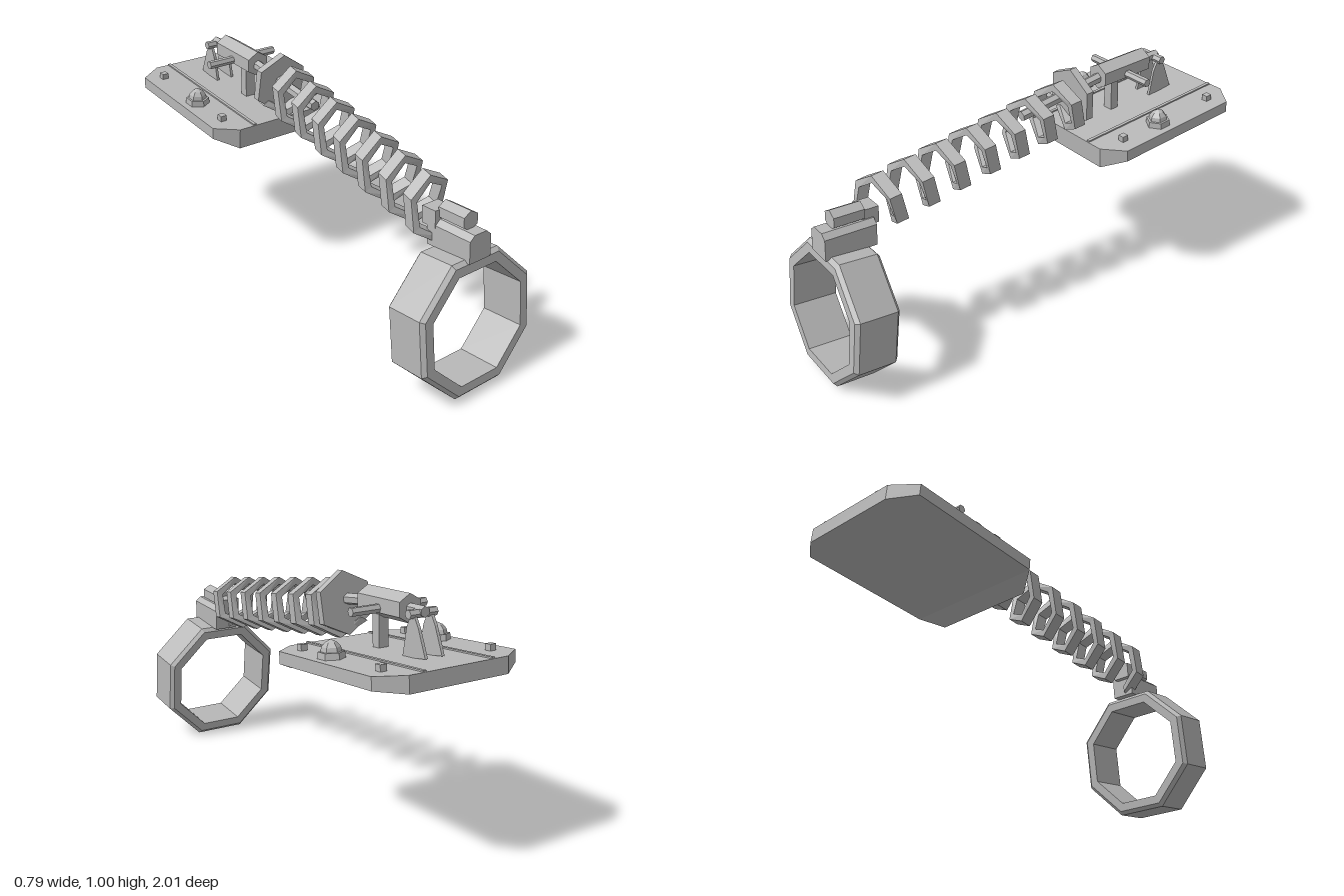
import * as THREE from 'three';

const steel = new THREE.MeshStandardMaterial({ color: 0xb8b8b8, flatShading: true });
steel.name = 'grey steel';

const V = (x, y, z) => new THREE.Vector3(x, y, z);

function part(name, geometry, parent, x = 0, y = 0, z = 0) {
  const mesh = new THREE.Mesh(geometry, steel);
  mesh.name = name;
  mesh.position.set(x, y, z);
  parent.add(mesh);
  return mesh;
}

// Straight faceted bar between two points
function rod(name, a, b, radius, parent, sides = 6) {
  const dir = b.clone().sub(a);
  const mesh = part(name, new THREE.CylinderGeometry(radius, radius, dir.length(), sides), parent);
  mesh.position.copy(a).add(b).multiplyScalar(0.5);
  mesh.quaternion.setFromUnitVectors(V(0, 1, 0), dir.normalize());
  return mesh;
}

// Solid joined from four-cornered cross-sections
function loft(loops) {
  const pos = [];
  const quad = (a, b, c, d) => [a, b, c, a, c, d].forEach(p => pos.push(p.x, p.y, p.z));
  for (let i = 0; i < loops.length - 1; i++) {
    for (let k = 0; k < 4; k++) {
      const n = (k + 1) % 4;
      quad(loops[i][k], loops[i + 1][k], loops[i + 1][n], loops[i][n]);
    }
  }
  quad(...loops[0]);
  quad(...[...loops[loops.length - 1]].reverse());
  const g = new THREE.BufferGeometry();
  g.setAttribute('position', new THREE.Float32BufferAttribute(pos, 3));
  g.computeVertexNormals();
  return g;
}

// Mounting plate with clipped corners, deeper at the front lip
function makePlate() {
  const g = new THREE.Group();
  g.name = 'mountingPlate';
  g.position.set(-0.05, 0.748, -0.615);
  g.rotation.set(0.087, 0.1, 0, 'YXZ');
  const stations = [[-0.368, 0.22, 0.065], [-0.297, 0.322, 0.05], [0.297, 0.322, 0.05], [0.368, 0.23, 0.09]];
  part('plateBody', loft(stations.map(([z, w, d]) =>
    [V(-w, 0, z), V(w, 0, z), V(w, -d, z), V(-w, -d, z)])), g);
  for (const s of [-1, 1]) {
    part('plateSeam', new THREE.BoxGeometry(0.014, 0.008, 0.73), g, s * 0.152, 0.002, 0);
    for (const t of [-1, 1]) {
      part('smallBolt', new THREE.BoxGeometry(0.028, 0.03, 0.028), g, s * 0.246, 0.01, t * 0.25);
    }
    // Domed hexagonal bolts
    part('boltBase', new THREE.CylinderGeometry(0.05, 0.053, 0.03, 6), g, s * 0.247, 0.01, 0.05);
    const dome = [[0.04, 0], [0.036, 0.018], [0.022, 0.035], [0, 0.046]].map(p => new THREE.Vector2(...p));
    part('boltDome', new THREE.LatheGeometry(dome, 6), g, s * 0.247, 0.024, 0.05);
  }
  return g;
}

// Barrel, its side pins, rods and supports
function makeBarrel() {
  const g = new THREE.Group();
  g.name = 'barrelAssembly';
  g.position.set(-0.05, 0.915, -0.565);
  g.rotation.set(0.045, 0.1, 0, 'YXZ');
  rod('barrel', V(0, 0, -0.13), V(0, 0, 0.13), 0.056, g);
  rod('sidePin', V(-0.172, -0.012, 0), V(0.172, -0.012, 0), 0.018, g);
  rod('rearRod', V(0, 0, -0.215), V(0, 0, -0.12), 0.021, g);
  rod('rearPin', V(-0.062, -0.005, -0.195), V(0.062, -0.005, -0.195), 0.018, g);
  part('barrelPost', new THREE.BoxGeometry(0.045, 0.15, 0.04), g, 0, -0.105, 0.05);
  // Tapered twin brackets
  const fin = new THREE.Shape([[-0.14, -0.17], [-0.165, -0.055], [-0.185, -0.015], [-0.21, -0.015],
    [-0.23, -0.05], [-0.27, -0.155]].map(p => new THREE.Vector2(-p[0], p[1])));
  const finGeo = new THREE.ExtrudeGeometry(fin, { depth: 0.012, bevelEnabled: false });
  finGeo.rotateY(Math.PI / 2);
  for (const s of [-1, 1]) part('rearBracket', finGeo, g, s * 0.038 - 0.006, 0, 0);
  return g;
}

// Six-sided coil wound from flat bar
function makeCoil() {
  const pitch = 0.143;
  const loops = [];
  for (let i = -3; i <= 40; i++) {
    const a = i * Math.PI / 3;
    const z = 0.66 - pitch * i / 6;
    const corner = (r, dz) => V(0.02 + 0.07 * z + r * Math.sin(a),
      0.8 - 0.167 * z + r * Math.cos(a) - 0.167 * dz, z + dz);
    loops.push([corner(0.122, 0.025), corner(0.122, -0.025), corner(0.09, -0.025), corner(0.09, 0.025)]);
  }
  return loft(loops);
}

// Octagonal ring with bevelled rims
function makeRing() {
  const profile = [[0.246, -0.095], [0.286, -0.095], [0.303, -0.08], [0.303, 0.08], [0.286, 0.095],
    [0.246, 0.095], [0.246, -0.095]].map(p => new THREE.Vector2(...p));
  return new THREE.LatheGeometry(profile, 8, Math.PI / 8).rotateX(Math.PI / 2);
}

// Clevis block and hexagonal knob joining the coil to the ring
function makeJoint() {
  const g = new THREE.Group();
  g.name = 'ringJoint';
  g.position.set(0.098, 0.61, 0.825);
  g.rotation.set(-0.06, 0.1, 0, 'YXZ');
  const s = new THREE.Shape([[-0.053, -0.055], [0.053, -0.055], [0.053, 0.035], [0.03, 0.055],
    [-0.03, 0.055], [-0.053, 0.035]].map(p => new THREE.Vector2(...p)));
  part('jointBlock', new THREE.ExtrudeGeometry(s, { depth: 0.22, bevelEnabled: false }), g, 0, 0, -0.11);
  rod('jointKnob', V(0, 0.085, -0.07), V(0, 0.085, 0.06), 0.04, g);
  part('jointTab', new THREE.BoxGeometry(0.08, 0.07, 0.07), g, -0.015, 0.06, -0.1);
  return g;
}

export function createModel() {
  const model = new THREE.Group();
  model.name = 'springRing';
  model.add(makePlate(), makeBarrel(), makeJoint());
  part('coilSpring', makeCoil(), model);
  const ring = part('ring', makeRing(), model, 0.1, 0.284, 0.868);
  ring.rotation.set(-0.12, 0.1, 0, 'YXZ');
  // Hexagonal collar and push rod at the rear of the coil
  rod('collar', V(-0.015, 0.869, -0.305), V(-0.012, 0.866, -0.272), 0.13, model);
  rod('pushRod', V(-0.038, 0.905, -0.45), V(0.005, 0.845, -0.02), 0.023, model);
  return model;
}
